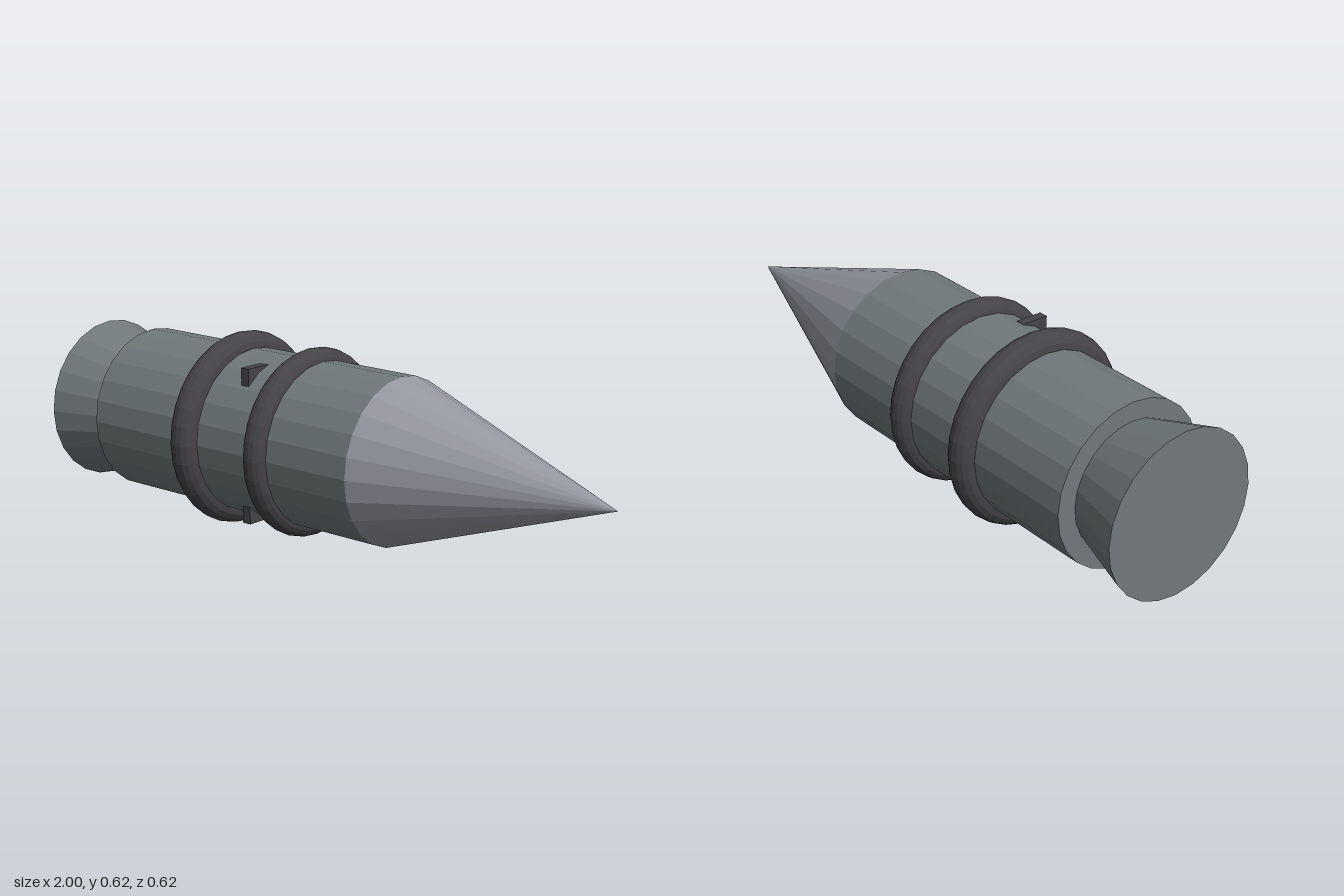
import * as THREE from 'three';

export function createModel() {
  const model = new THREE.Group();
  const mat = (name, color) => {
    const m = new THREE.MeshStandardMaterial({ color, flatShading: true });
    m.name = name;
    return m;
  };
  const hullGrey = mat('hull grey', 0x70787b);
  const noseGrey = mat('nose grey', 0x9496a0);
  const darkGrey = mat('dark grey', 0x454348);

  const AXIS_Y = 0.308;
  const RADIUS = 0.26;
  const SIDES = 24;

  const add = (name, geometry, material, x, y = AXIS_Y, z = 0) => {
    const mesh = new THREE.Mesh(geometry, material);
    mesh.name = name;
    mesh.position.set(x, y, z);
    model.add(mesh);
    return mesh;
  };

  // Round section lying along x, from x0 (radius r0) to x1 (radius r1)
  const section = (name, x0, r0, x1, r1, material) => {
    const g = new THREE.CylinderGeometry(r1, r0, x1 - x0, SIDES);
    g.rotateZ(-Math.PI / 2);
    add(name, g, material, (x0 + x1) / 2);
  };
  section('nozzle', -1, RADIUS, -0.797, 0.2, hullGrey);
  section('body', -0.797, RADIUS, 0.242, RADIUS, hullGrey);

  // Pointed nose
  const nose = new THREE.ConeGeometry(RADIUS, 0.758, SIDES);
  nose.rotateZ(-Math.PI / 2);
  add('noseCone', nose, noseGrey, 0.621);

  // Raised rings around the body
  const ring = (name, x, radius, tube) => {
    const g = new THREE.TorusGeometry(radius, tube, 16, 32);
    g.rotateY(Math.PI / 2);
    add(name, g, darkGrey, x);
  };
  ring('rearRing', -0.394, 0.262, 0.046);
  ring('frontRing', -0.104, 0.255, 0.041);

  // Two small lugs whose outer corners poke through the front of the body
  for (const side of [1, -1]) {
    const lug = new THREE.BoxGeometry(0.03, 0.08, 0.09);
    add(side > 0 ? 'upperLug' : 'lowerLug', lug, darkGrey, -0.223, AXIS_Y + side * 0.205, 0.13);
  }

  return model;
}
